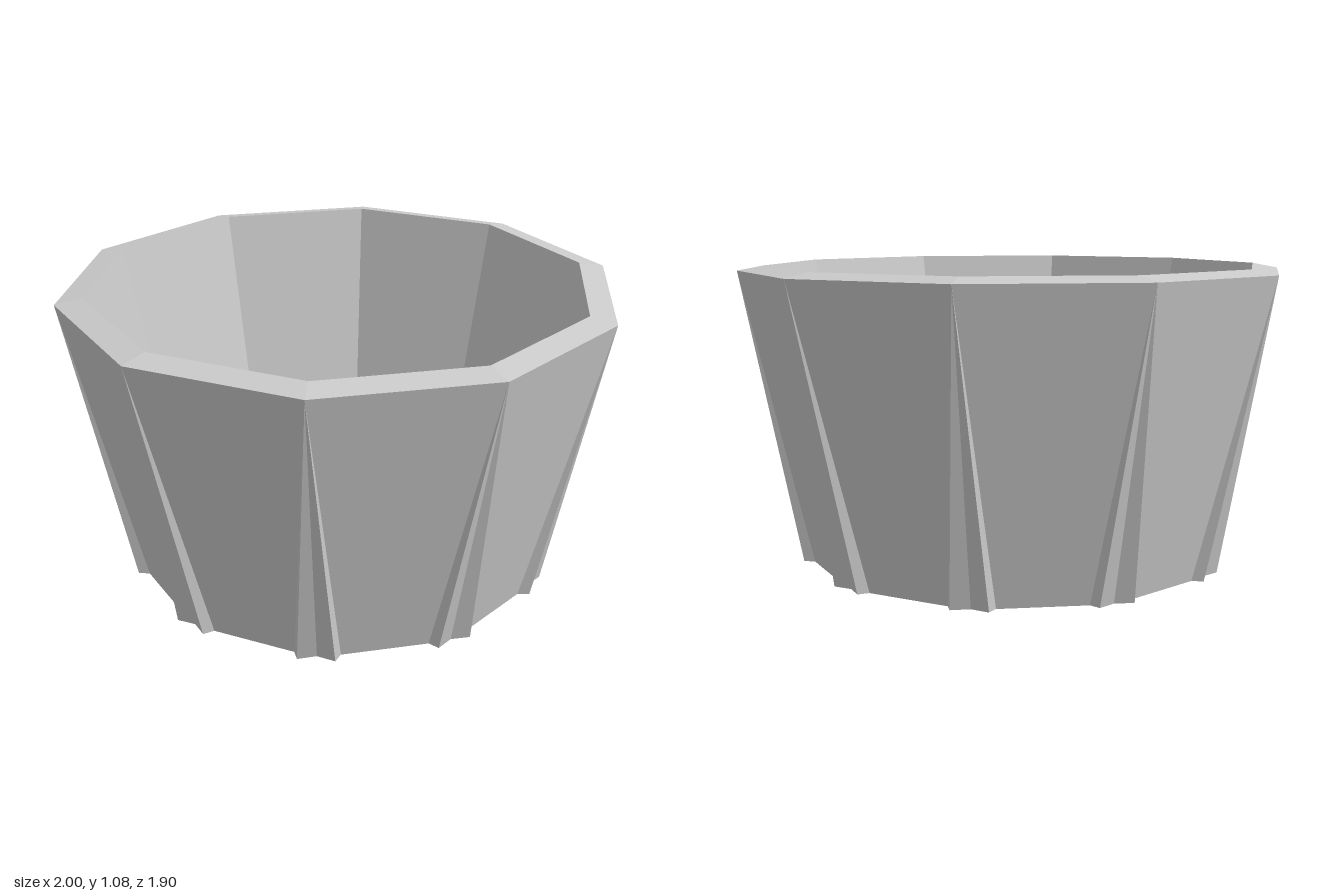
import * as THREE from 'three';

const SIDES = 10;

// Cross-section of the rib at each corner: [radius, sideways offset]
const RIB = [[0.745, -0.08], [0.785, -0.065], [0.762, 0], [0.785, 0.065], [0.745, 0.08]];
const corner = r => RIB.map(() => [r, 0]);

// Repeat a corner section around the ten corners at height y
function ring(section, y) {
  const points = [];
  for (let i = 0; i < SIDES; i++) {
    const a = (i / SIDES) * Math.PI * 2;
    const c = Math.cos(a), s = Math.sin(a);
    for (const [r, t] of section) points.push(new THREE.Vector3(r * c - t * s, y, r * s + t * c));
  }
  return points;
}

// Flat-shaded band joining two rings, leaving out collapsed triangles
function band(name, from, to, material) {
  const points = [];
  const area = new THREE.Triangle();
  const add = (a, b, c) => {
    if (area.set(a, b, c).getArea() > 1e-7) points.push(a, b, c);
  };
  for (let j = 0; j < from.length; j++) {
    const n = (j + 1) % from.length;
    add(from[j], to[j], from[n]);
    add(from[n], to[j], to[n]);
  }
  const geometry = new THREE.BufferGeometry().setFromPoints(points);
  geometry.computeVertexNormals();
  const mesh = new THREE.Mesh(geometry, material);
  mesh.name = name;
  return mesh;
}

export function createModel() {
  const group = new THREE.Group();
  group.name = 'ribbedPlanter';
  const material = new THREE.MeshStandardMaterial({ color: 0xcccccc, flatShading: true });

  const innerBottom = ring(corner(0.667), 0);
  const outerBottom = ring(RIB, 0);
  const outerTop = ring(corner(1), 1.06);
  const innerTop = ring(corner(0.905), 1.078);

  group.add(
    band('baseRing', innerBottom, outerBottom, material),
    // Ten panels with grooved ribs that taper to a point at the top
    band('ribbedOuterWall', outerBottom, outerTop, material),
    band('rim', outerTop, innerTop, material),
    band('innerWall', innerTop, innerBottom, material)
  );
  // Longest side runs corner to corner along x
  return group;
}
